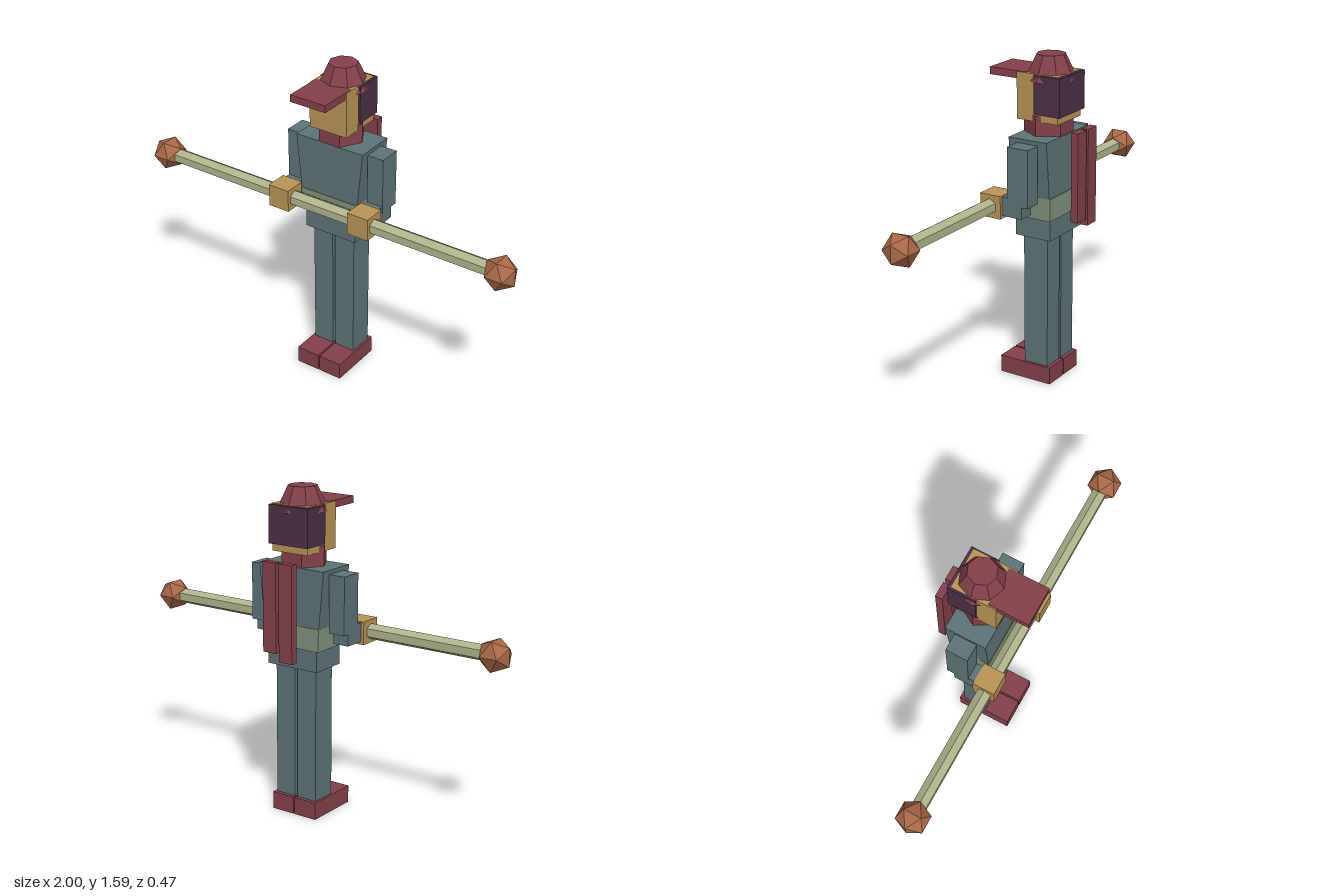
import * as THREE from 'three';

const mat = (name, color) => {
  const m = new THREE.MeshStandardMaterial({ color });
  m.name = name;
  return m;
};

export function createModel() {
  const group = new THREE.Group();
  const cloth = mat('slate cloth', 0x5e7478);
  const red = mat('dark red', 0x84404a);
  const skin = mat('skin', 0xb99456);
  const hairMat = mat('purple hair', 0x4b3046);
  const wood = mat('pale wood', 0xb0b48c);
  const copper = mat('copper', 0xa96848);
  const sash = mat('sage sash', 0x82917c);

  const add = (name, geometry, material, x = 0, y = 0, z = 0) => {
    const mesh = new THREE.Mesh(geometry, material);
    mesh.name = name;
    mesh.position.set(x, y, z);
    group.add(mesh);
    return mesh;
  };

  // Box given by its limits on each axis
  const box = (name, material, [x0, x1], [y0, y1], [z0, z1]) =>
    add(name, new THREE.BoxGeometry(x1 - x0, y1 - y0, z1 - z0), material,
      (x0 + x1) / 2, (y0 + y1) / 2, (z0 + z1) / 2);

  // Faceted prism or frustum
  const prism = (top, bottom, height, sides) => {
    const g = new THREE.CylinderGeometry(top, bottom, height, sides).toNonIndexed();
    g.computeVertexNormals();
    return g;
  };

  // Limbs and staff ends, mirrored
  for (const s of [1, -1]) {
    const side = s > 0 ? 'left' : 'right';
    const span = (a, b) => (s > 0 ? [a, b] : [-b, -a]);
    box(side + 'Foot', red, span(0.004, 0.125), [0, 0.085], [-0.11, 0.168]);
    box(side + 'Leg', cloth, span(0.007, 0.114), [0.08, 0.75], [-0.09, 0.038]);
    box(side + 'UpperArm', cloth, span(0.18, 0.264), [0.925, 1.2], [-0.08, 0.03]);
    box(side + 'Forearm', cloth, span(0.181, 0.263), [0.868, 0.958], [-0.045, 0.07]);
    box(side + 'Hand', skin, span(0.166, 0.277), [0.853, 0.963], [0.06, 0.17]);
    // Back sheaths, the right one a little longer
    box(side + 'Sheath', red, span(0.008, 0.082), [s > 0 ? 0.83 : 0.793, 1.255], [-0.232, -0.196]);
    const knob = add(side + 'StaffKnob', new THREE.IcosahedronGeometry(0.082, 0), copper, s * 0.93, 0.905, 0.12);
    knob.rotation.y = Math.PI / 2;
  }

  // Staff
  const staff = add('staff', prism(0.0375, 0.0375, 1.78, 6), wood, 0, 0.907, 0.12);
  staff.rotation.set(Math.PI / 2, 0, Math.PI / 2, 'YXZ');
  staff.rotation.set(0, 0, Math.PI / 2);
  staff.geometry.rotateY(Math.PI / 6);

  // Hips, sash and tapered torso
  box('hips', cloth, [-0.139, 0.139], [0.738, 0.85], [-0.12, 0.066]);
  box('sash', sash, [-0.157, 0.157], [0.84, 0.948], [-0.131, 0.078]);
  const torso = box('torso', cloth, [-0.182, 0.182], [0.93, 1.22], [-0.127, 0.075]);
  const p = torso.geometry.attributes.position;
  for (let i = 0; i < p.count; i++) if (p.getY(i) < 0) p.setX(i, p.getX(i) * 0.85);
  torso.geometry.computeVertexNormals();

  // Hexagonal scarf, one flat side to the front
  const scarf = prism(0.113, 0.113, 0.11, 6);
  scarf.rotateY(Math.PI / 6);
  add('scarf', scarf, red, 0, 1.258, -0.025);

  // Head and hair
  box('head', skin, [-0.1, 0.1], [1.285, 1.505], [-0.135, 0.083]);
  box('hair', hairMat, [-0.109, 0.109], [1.32, 1.501], [-0.15, -0.012]);

  // Cap
  add('capCrown', prism(0.068, 0.122, 0.115, 8), red, 0, 1.5275, -0.037);
  box('capVisor', red, [-0.094, 0.094], [1.472, 1.507], [0.04, 0.234]);

  return group;
}
